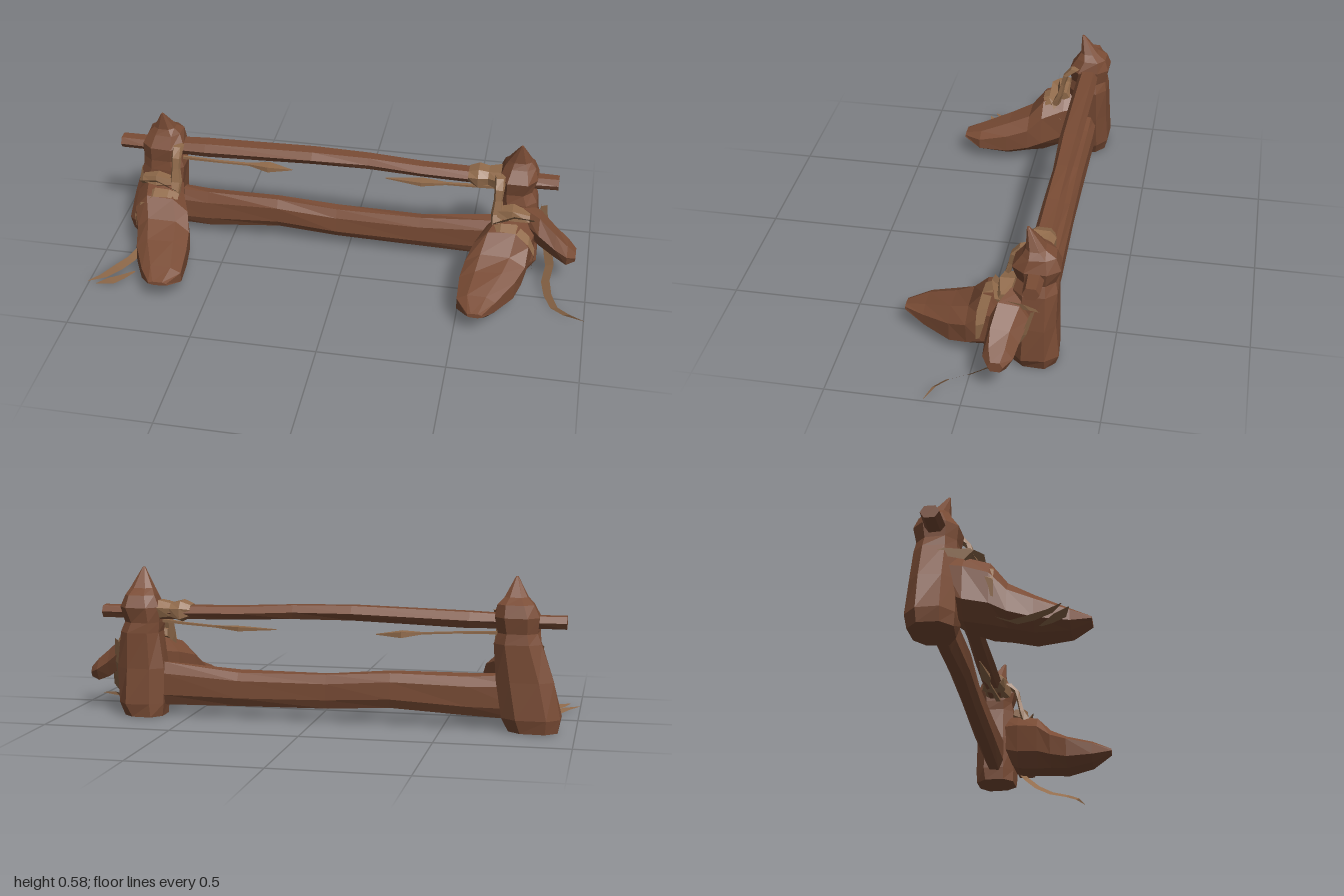
import * as THREE from 'three';

const wood = new THREE.MeshStandardMaterial({ color: 0x7a4c35, flatShading: true });
wood.name = 'brown wood';
const cloth = new THREE.MeshStandardMaterial({ color: 0x916b4b, flatShading: true, side: THREE.DoubleSide });
cloth.name = 'tan lashing';

// Small seeded noise for the hewn surface
let seed = 7;
const noise = () => {
  seed = (seed * 16807) % 2147483647;
  return seed / 2147483647 - 0.5;
};

// Solid from cross-sections along one axis (0 x, 1 y, 2 z).
// Section: [position, uMin, uMax, vMin, vMax], where u and v are the next two axes in turn.
function loft(name, axis, sections, sides = 8, rough = 0.06, material = wood) {
  const u = (axis + 1) % 3, v = (axis + 2) % 3;
  const pos = [], idx = [];
  const square = (n) => Math.sign(n) * Math.pow(Math.abs(n), 0.78);
  for (const [a, u0, u1, v0, v1] of sections) {
    for (let j = 0; j < sides; j++) {
      const t = ((j + 0.5) / sides) * Math.PI * 2;
      const r = 0.508 + noise() * rough;
      const p = [0, 0, 0];
      p[axis] = a;
      p[u] = (u0 + u1) / 2 + square(Math.cos(t)) * r * (u1 - u0);
      p[v] = (v0 + v1) / 2 + square(Math.sin(t)) * r * (v1 - v0);
      pos.push(...p);
    }
  }
  for (let i = 0; i < sections.length - 1; i++) {
    for (let j = 0; j < sides; j++) {
      const a = i * sides + j, b = i * sides + ((j + 1) % sides);
      idx.push(a, b, b + sides, a, b + sides, a + sides);
    }
  }
  // End caps
  const last = (sections.length - 1) * sides;
  for (let j = 1; j < sides - 1; j++) {
    idx.push(0, j + 1, j, last, last + j, last + j + 1);
  }
  return finish(name, pos, idx, material);
}

// Flat strip: points [x, y, z, width], spread along a fixed direction
function strip(name, points, dir) {
  const pos = [], idx = [];
  points.forEach(([x, y, z, w], i) => {
    for (const s of [-0.5, 0.5]) pos.push(x + dir[0] * w * s, y + dir[1] * w * s, z + dir[2] * w * s);
    if (i) {
      const a = 2 * i - 2;
      idx.push(a, a + 1, a + 3, a, a + 3, a + 2);
    }
  });
  return finish(name, pos, idx, cloth);
}

function finish(name, pos, idx, material) {
  const g = new THREE.BufferGeometry();
  g.setAttribute('position', new THREE.Float32BufferAttribute(pos, 3));
  g.setIndex(idx);
  g.computeVertexNormals();
  const mesh = new THREE.Mesh(g, material);
  mesh.name = name;
  return mesh;
}

export function createModel() {
  const model = new THREE.Group();
  model.name = 'lashedLogFence';

  // Posts with pointed tops
  model.add(
    loft('rightPost', 1, [
      [0.008, -0.305, -0.14, -0.94, -0.745],
      [0.06, -0.314, -0.136, -0.953, -0.722],
      [0.2, -0.307, -0.14, -0.92, -0.7],
      [0.34, -0.303, -0.142, -0.87, -0.69],
      [0.38, -0.3, -0.147, -0.86, -0.7],
      [0.44, -0.312, -0.138, -0.865, -0.687],
      [0.487, -0.295, -0.17, -0.84, -0.7],
      [0.512, -0.257, -0.182, -0.815, -0.725],
      [0.585, -0.195, -0.185, -0.775, -0.765],
    ]),
    loft('leftPost', 1, [
      [0.008, -0.305, -0.14, 0.6, 0.76],
      [0.06, -0.314, -0.136, 0.592, 0.788],
      [0.2, -0.307, -0.14, 0.592, 0.788],
      [0.34, -0.303, -0.142, 0.61, 0.77],
      [0.38, -0.3, -0.147, 0.61, 0.755],
      [0.44, -0.314, -0.138, 0.607, 0.773],
      [0.487, -0.295, -0.17, 0.63, 0.755],
      [0.512, -0.257, -0.182, 0.645, 0.74],
      [0.59, -0.195, -0.185, 0.69, 0.7],
    ]),
  );

  // Slanted foot logs
  model.add(
    loft('rightFootLog', 2, [
      [-0.19, -0.87, -0.7, 0.1, 0.31],
      [-0.12, -0.88, -0.68, 0.05, 0.315],
      [-0.03, -0.87, -0.64, 0.038, 0.285],
      [0.03, -0.85, -0.62, 0.032, 0.21],
      [0.12, -0.83, -0.61, 0.02, 0.173],
      [0.24, -0.77, -0.6, 0.046, 0.133],
      [0.312, -0.72, -0.64, 0.092, 0.108],
    ]),
    loft('leftFootLog', 2, [
      [-0.19, 0.62, 0.78, 0.1, 0.31],
      [-0.12, 0.57, 0.78, 0.05, 0.315],
      [-0.03, 0.53, 0.76, 0.038, 0.285],
      [0.03, 0.51, 0.75, 0.032, 0.21],
      [0.1, 0.5, 0.72, 0.02, 0.178],
      [0.21, 0.5, 0.66, 0.04, 0.14],
      [0.29, 0.55, 0.61, 0.09, 0.11],
    ]),
  );

  // Rails between the posts
  model.add(
    loft('topRail', 0, [
      [-0.96, 0.395, 0.445, -0.255, -0.19],
      [-0.84, 0.395, 0.445, -0.26, -0.185],
      [-0.6, 0.39, 0.455, -0.265, -0.18],
      [-0.15, 0.405, 0.465, -0.262, -0.18],
      [0.08, 0.405, 0.462, -0.258, -0.185],
      [0.3, 0.395, 0.45, -0.26, -0.182],
      [0.62, 0.39, 0.445, -0.262, -0.18],
      [0.85, 0.39, 0.442, -0.255, -0.195],
    ], 6),
    loft('bottomRail', 0, [
      [-0.8, 0.05, 0.225, -0.265, -0.18],
      [-0.6, 0.05, 0.215, -0.265, -0.18],
      [-0.3, 0.075, 0.215, -0.262, -0.18],
      [-0.05, 0.06, 0.195, -0.26, -0.182],
      [0.3, 0.055, 0.195, -0.262, -0.18],
      [0.6, 0.045, 0.225, -0.265, -0.18],
      [0.72, 0.045, 0.23, -0.265, -0.18],
    ]),
  );

  // Broken stub beside the left post
  model.add(loft('brokenStub', 0, [
    [0.72, 0.23, 0.34, -0.2, -0.12],
    [0.79, 0.19, 0.32, -0.205, -0.075],
    [0.86, 0.14, 0.26, -0.18, -0.06],
    [0.91, 0.12, 0.215, -0.168, -0.062],
    [0.945, 0.13, 0.175, -0.145, -0.085],
  ], 6, 0.1));

  // Lashings around each joint; both posts get the same set, shifted and mirrored
  for (const [side, cx, m] of [['right', -0.775, -1], ['left', 0.69, 1]]) {
    const g = new THREE.Group();
    g.name = side + 'Lashing';
    const neck = cx - m * 0.07;
    g.add(
      loft('neckBand', 1, [
        [0.27, -0.105, -0.06, neck - 0.02, neck + 0.02],
        [0.32, -0.115, -0.09, neck - 0.025, neck + 0.025],
        [0.375, -0.125, -0.105, neck - 0.018, neck + 0.018],
        [0.42, -0.14, -0.115, neck - 0.02, neck + 0.02],
        [0.455, -0.19, -0.145, neck - 0.022, neck + 0.022],
      ], 5, 0.12, cloth),
      strip('crossStrip', [
        [cx - m * 0.1, 0.22, -0.1, 0.03], [cx - m * 0.08, 0.29, -0.07, 0.04],
        [cx, 0.32, -0.08, 0.06], [cx + m * 0.08, 0.3, -0.1, 0.05],
        [cx + m * 0.1, 0.31, -0.2, 0.035], [cx + m * 0.1, 0.3, -0.24, 0.02],
      ], [0, 0.7, 0.7]),
      strip('footStrip', [
        [cx - m * 0.09, 0.275, -0.055, 0.03], [cx - m * 0.05, 0.293, -0.045, 0.04],
        [cx + m * 0.01, 0.293, -0.045, 0.045], [cx + m * 0.065, 0.25, -0.035, 0.045],
        [cx + m * 0.09, 0.2, -0.03, 0.035], [cx + m * 0.085, 0.13, -0.02, 0.015],
      ], [0, -0.4, 0.92]),
      loft('knot', 0, [
        [cx - 0.07, 0.3, 0.335, -0.14, -0.09],
        [cx - 0.01, 0.285, 0.35, -0.15, -0.075],
        [cx + 0.06, 0.29, 0.33, -0.14, -0.09],
      ], 5, 0.2, cloth),
    );
    model.add(g);
  }

  // Cloth wound around the top rail
  model.add(loft('railWrap', 0, [
    [0.49, 0.4, 0.45, -0.262, -0.172],
    [0.53, 0.385, 0.465, -0.272, -0.16],
    [0.57, 0.395, 0.457, -0.265, -0.17],
    [0.62, 0.385, 0.468, -0.275, -0.15],
  ], 7, 0.12, cloth));

  // Ragged leaf-shaped ends hanging under the top rail
  model.add(
    loft('rightRagEnd', 0, [
      [-0.7, 0.365, 0.38, -0.215, -0.2],
      [-0.55, 0.364, 0.374, -0.215, -0.2],
      [-0.42, 0.358, 0.368, -0.225, -0.208],
      [-0.34, 0.342, 0.372, -0.25, -0.19],
      [-0.24, 0.352, 0.356, -0.222, -0.218],
    ], 4, 0.06, cloth),
    loft('leftRagEnd', 0, [
      [0.15, 0.358, 0.362, -0.222, -0.218],
      [0.3, 0.348, 0.37, -0.245, -0.192],
      [0.4, 0.36, 0.37, -0.225, -0.208],
      [0.52, 0.367, 0.378, -0.22, -0.2],
      [0.62, 0.374, 0.39, -0.22, -0.195],
    ], 4, 0.06, cloth),
  );

  // Loose tails trailing on the ground
  model.add(
    strip('leftTail', [
      [0.8, 0.3, -0.225, 0.035], [0.81, 0.2, -0.195, 0.05], [0.83, 0.14, -0.155, 0.05],
      [0.845, 0.09, -0.11, 0.05], [0.835, 0.045, -0.06, 0.05], [0.85, 0.02, 0, 0.045],
      [0.88, 0.014, 0.07, 0.04], [0.93, 0.016, 0.11, 0.035], [1, 0.014, 0.135, 0.004],
    ], [0.68, 0.42, 0.3]),
    strip('rightTail', [
      [-0.83, 0.06, 0, 0.03], [-0.87, 0.02, 0.06, 0.045], [-0.91, 0.012, 0.12, 0.05],
      [-0.95, 0.014, 0.19, 0.035], [-1, 0.016, 0.235, 0.004],
    ], [0.85, 0.05, 0.5]),
    strip('rightTailFork', [
      [-0.83, 0.02, 0.145, 0.01], [-0.87, 0.014, 0.18, 0.035],
      [-0.91, 0.016, 0.22, 0.055], [-0.96, 0.022, 0.255, 0.004],
    ], [0.7, 0.1, 0.7]),
  );
  return model;
}
